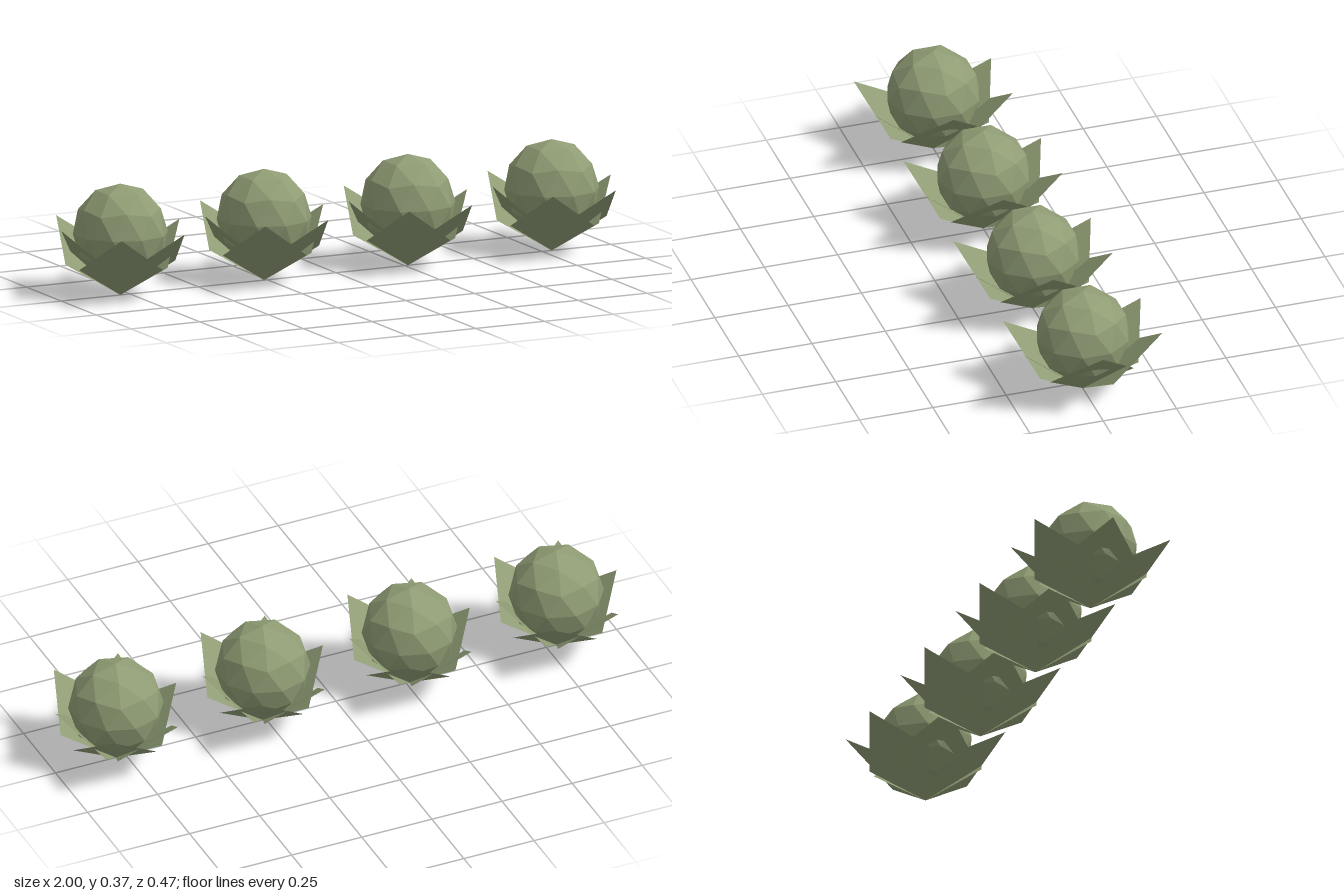
import * as THREE from 'three';

const green = new THREE.MeshStandardMaterial({ color: 0x8f9c74, flatShading: true, side: THREE.DoubleSide });
green.name = 'sage green';

const TIP_Y = 0.232;
const CORNER_Y = 0.107;

// Flat kite-shaped leaf rising from the ground point out to a tip at the given reach
function makeLeaf(angle, reach, halfWidth) {
  const mid = reach * CORNER_Y / TIP_Y;
  const geo = new THREE.BufferGeometry();
  geo.setAttribute('position', new THREE.Float32BufferAttribute([
    0, 0, 0,
    mid, CORNER_Y, -halfWidth,
    reach, TIP_Y, 0,
    mid, CORNER_Y, halfWidth,
  ], 3));
  geo.setIndex([0, 1, 2, 0, 2, 3]);
  geo.computeVertexNormals();
  const leaf = new THREE.Mesh(geo, green);
  leaf.name = 'leaf';
  leaf.rotation.y = angle;
  return leaf;
}

// Faceted round bulb with a vertex pointing straight up
function makeBulb() {
  const geo = new THREE.IcosahedronGeometry(1, 1);
  geo.rotateZ(-Math.atan2(1, (1 + Math.sqrt(5)) / 2));
  geo.scale(0.156, 0.162, 0.156);
  geo.computeVertexNormals();
  const bulb = new THREE.Mesh(geo, green);
  bulb.name = 'bulb';
  bulb.position.y = 0.207;
  return bulb;
}

function makePlant() {
  const plant = new THREE.Group();
  plant.name = 'plant';
  plant.add(makeBulb());
  // Shorter leaves on both sides, longer pairs at front and back
  for (const a of [0, Math.PI]) plant.add(makeLeaf(a, 0.215, 0.143));
  const splay = THREE.MathUtils.degToRad(64);
  for (const a of [splay, Math.PI - splay, Math.PI + splay, -splay]) {
    plant.add(makeLeaf(a, 0.261, 0.136));
  }
  return plant;
}

export function createModel() {
  const model = new THREE.Group();
  model.name = 'plantRow';
  // Four identical plants in a row
  for (let i = 0; i < 4; i++) {
    const plant = makePlant();
    plant.position.x = (i - 1.5) * 0.5233;
    model.add(plant);
  }
  return model;
}
